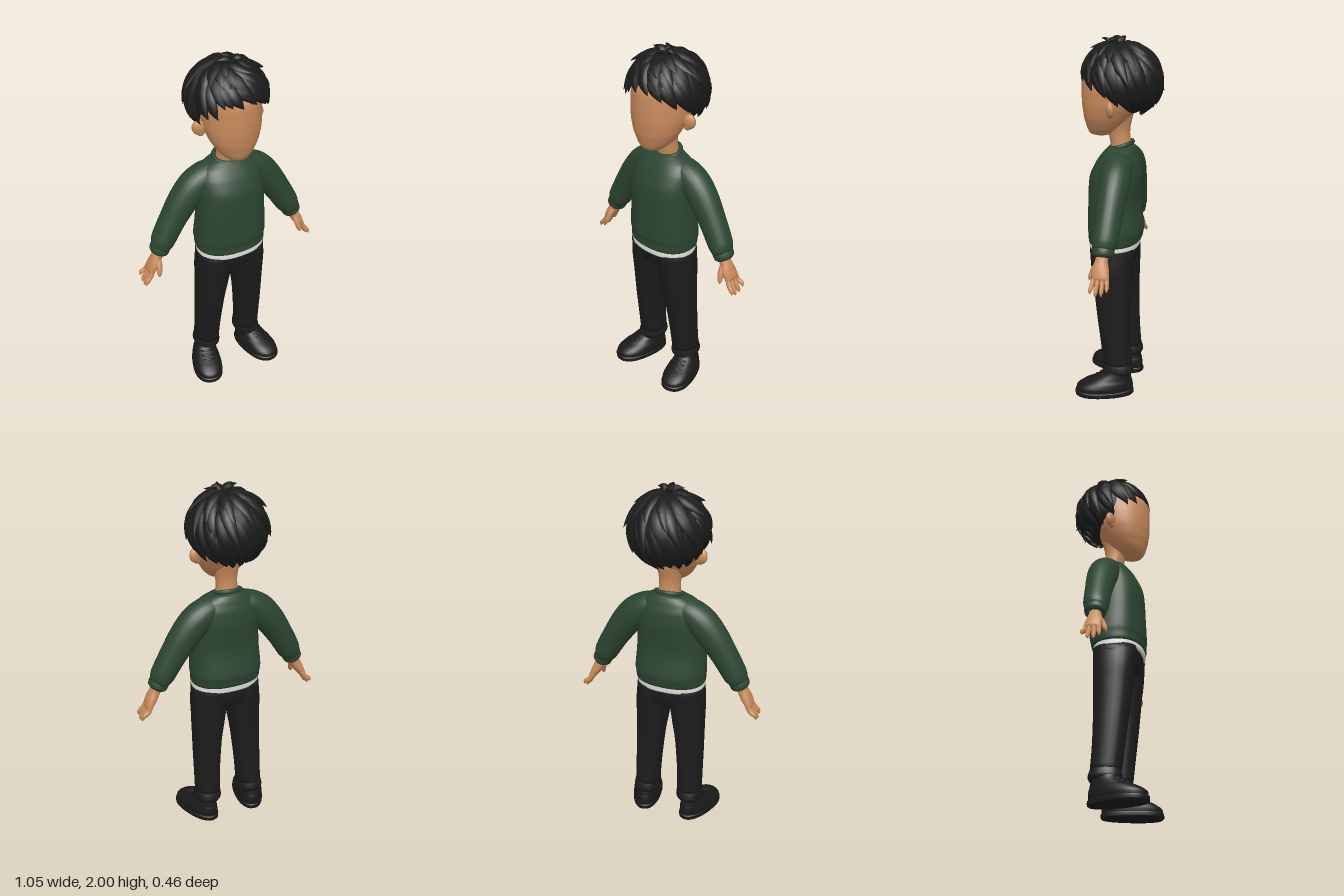
import * as THREE from 'three';

const V = (x, y, z) => new THREE.Vector3(x, y, z);
const paint = (name, color) => {
  const m = new THREE.MeshStandardMaterial({ color });
  m.name = name;
  return m;
};

// Skin closed surface over rings {c, u, v}: centre and two half-axis vectors
function loftRings(rings, n = 24, e = 1) {
  const pos = [], idx = [];
  const pw = (t) => Math.sign(t) * Math.pow(Math.abs(t), e);
  for (const { c, u, v } of rings) {
    for (let j = 0; j < n; j++) {
      const a = (j / n) * Math.PI * 2;
      const p = c.clone().addScaledVector(u, pw(Math.cos(a))).addScaledVector(v, pw(Math.sin(a)));
      pos.push(p.x, p.y, p.z);
    }
  }
  const last = rings.length - 1;
  const c0 = rings[0].c, c1 = rings[last].c;
  pos.push(c0.x, c0.y, c0.z, c1.x, c1.y, c1.z);
  const k = rings.length * n;
  for (let j = 0; j < n; j++) {
    const q = (j + 1) % n;
    for (let i = 0; i < last; i++) {
      const a = i * n + j, b = i * n + q, c = a + n, d = b + n;
      idx.push(a, c, b, b, c, d);
    }
    idx.push(k, j, q, k + 1, last * n + q, last * n + j);
  }
  const g = new THREE.BufferGeometry();
  g.setAttribute('position', new THREE.Float32BufferAttribute(pos, 3));
  g.setIndex(idx);
  g.computeVertexNormals();
  return g;
}

// Smooth loft through rows [x, y, z, half width, half depth]; level keeps the rings horizontal
function loft(rows, { level = true, sub = 4, n = 24, e = 1 } = {}) {
  const path = new THREE.CatmullRomCurve3(rows.map((r) => V(r[0], r[1], r[2])), false, 'centripetal');
  const size = new THREE.CatmullRomCurve3(rows.map((r) => V(r[3], r[4], 0)), false, 'catmullrom', 0.4);
  const steps = (rows.length - 1) * sub, rings = [];
  const up = Math.sign(rows[rows.length - 1][1] - rows[0][1]);
  for (let i = 0; i <= steps; i++) {
    const t = i / steps, s = size.getPoint(t), d = path.getTangent(t);
    const u = level ? V(up, 0, 0) : V(d.y, -d.x, 0).normalize();
    rings.push({ c: path.getPoint(t), u: u.multiplyScalar(s.x), v: V(0, 0, s.y) });
  }
  return loftRings(rings, n, e);
}

function mirrored(geo) {
  const g = geo.clone().scale(-1, 1, 1), ix = g.index;
  for (let i = 0; i < ix.count; i += 3) {
    const t = ix.getX(i);
    ix.setX(i, ix.getX(i + 1));
    ix.setX(i + 1, t);
  }
  return g;
}

// Leaf-shaped lock of hair swept over the head from polar angle p0 to p1
const HAIR = V(0, 1.77, -0.003), HAIR_R = V(0.192, 0.186, 0.198);
function lock(az, p0, p1, width, lift, twist) {
  const at = (s) => {
    const p = p0 + (p1 - p0) * s, a = az + twist * (s - 1);
    const n = V(Math.sin(p) * Math.sin(a), Math.cos(p), Math.sin(p) * Math.cos(a));
    const c = n.clone().multiply(HAIR_R).multiplyScalar(0.99 + 0.06 * s + lift * s * s * s).add(HAIR);
    return { n, c };
  };
  const rings = [];
  for (let i = 0; i <= 9; i++) {
    const s = i / 9, { n, c } = at(s);
    const t = at(s + 0.01).c.sub(at(s - 0.01).c).normalize();
    const side = t.clone().cross(n).normalize();
    const f = Math.pow(Math.max(0.0005, Math.sin(Math.PI * (0.2 + 0.8 * s))), 0.9);
    rings.push({ c, u: side.multiplyScalar(width * f), v: n.multiplyScalar(0.023 * f) });
  }
  return loftRings(rings, 8);
}

export function createModel() {
  const skin = paint('skin', 0xc88a5b);
  const hair = paint('hair', 0x1b1b1c);
  const green = paint('sweater green', 0x2c4531);
  const white = paint('shirt white', 0xdcdcd6);
  const trousers = paint('trousers black', 0x1c1c1c);
  const shoeBlack = paint('shoe black', 0x1a1a1b);
  hair.side = THREE.DoubleSide;

  const model = new THREE.Group();
  model.name = 'boy';
  const add = (name, geo, mat, parent = model) => {
    const m = new THREE.Mesh(geo, mat);
    m.name = name;
    parent.add(m);
  };
  const both = (name, geo, mat) => {
    add('left' + name, geo, mat);
    add('right' + name, mirrored(geo), mat);
  };

  // Head, neck and ears
  add('head', loft([
    [0, 1.468, 0.11, 0.02, 0.025], [0, 1.48, 0.107, 0.06, 0.062], [0, 1.52, 0.087, 0.1, 0.1],
    [0, 1.58, 0.07, 0.133, 0.132], [0, 1.65, 0.047, 0.152, 0.163], [0, 1.73, 0.027, 0.156, 0.185],
    [0, 1.82, 0.012, 0.146, 0.192], [0, 1.9, 0, 0.1, 0.115], [0, 1.93, 0, 0.03, 0.03],
  ], { n: 32 }), skin);
  add('neck', loft([[0, 1.36, -0.01, 0.07, 0.06], [0, 1.43, 0, 0.06, 0.056],
    [0, 1.5, 0.01, 0.06, 0.06], [0, 1.6, 0.01, 0.08, 0.08]]), skin);
  both('Ear', new THREE.SphereGeometry(1, 16, 12).scale(0.036, 0.042, 0.022)
    .rotateY(0.35).rotateZ(-0.2).translate(0.17, 1.638, 0.02), skin);
  both('EarLobe', new THREE.SphereGeometry(1, 12, 10).scale(0.022, 0.022, 0.018)
    .translate(0.16, 1.612, 0.022), skin);

  // Hair: scalp, back of the head, then layered locks swirling out from the crown
  const hairGroup = new THREE.Group();
  hairGroup.name = 'hair';
  model.add(hairGroup);
  add('scalp', new THREE.SphereGeometry(1, 32, 14, 0, Math.PI * 2, 0, 1.08)
    .scale(HAIR_R.x, HAIR_R.y, HAIR_R.z).translate(HAIR.x, HAIR.y, HAIR.z), hair, hairGroup);
  add('backHair', new THREE.SphereGeometry(1, 28, 20).scale(0.178, 0.185, 0.165)
    .translate(0, 1.775, -0.035), hair, hairGroup);
  let seed = 7;
  const rnd = () => (seed = (seed * 16807) % 2147483647) / 2147483647;
  const layers = [[0.5, 1, 19, 0.04, 0.07], [0.33, 0.88, 16, 0.039, 0.14],
    [0.17, 0.7, 13, 0.039, 0.17], [0.02, 0.5, 10, 0.037, 0.17]];
  layers.forEach(([f0, f1, count, width, lift], k) => {
    for (let i = 0; i < count; i++) {
      const az = ((i + 0.5 * (k % 2) + 0.4 * (rnd() - 0.5)) / count) * Math.PI * 2;
      const end = 79 + 35 * (1 - Math.cos(az)) + 13 * Math.sin(az) ** 2 - 6 * Math.sin(az) + 10 * (rnd() - 0.5);
      const p = (end * Math.PI) / 180;
      add('hairLock', lock(az, p * f0, p * f1, width, lift * (0.15 + rnd()), 0.5), hair, hairGroup);
    }
  });
  // Tuft on the crown
  for (const [x, y, z, w] of [[-0.07, 1.985, 0.03, 0.026], [0.08, 1.978, 0.04, 0.024],
    [0.01, 1.985, 0.1, 0.024], [-0.03, 1.995, -0.02, 0.024]]) {
    add('crownTuft', loft([[0.02, 1.935, 0.02, w, w], [0.01 + x * 0.4, 1.978, (0.02 + z) / 2, w * 0.8, w],
      [x, y, z, 0.001, 0.001]], { level: false, n: 8 }), hair, hairGroup);
  }

  // Sweater
  add('sweaterBody', loft([
    [0, 0.875, 0.033, 0.182, 0.125], [0, 0.89, 0.03, 0.198, 0.143], [0, 0.925, 0.026, 0.2, 0.147],
    [0, 0.96, 0.026, 0.203, 0.152], [0, 1.1, 0.035, 0.195, 0.138], [0, 1.25, 0.025, 0.187, 0.14],
    [0, 1.33, 0.012, 0.18, 0.118], [0, 1.38, 0.003, 0.152, 0.092], [0, 1.412, -0.006, 0.098, 0.068],
    [0, 1.422, -0.008, 0.06, 0.05],
  ], { n: 36, e: 0.87 }), green);
  add('collar', new THREE.TorusGeometry(0.073, 0.012, 10, 32).scale(1, 0.88, 1)
    .rotateX(Math.PI / 2 + 0.3).translate(0, 1.42, -0.003), green);
  both('Sleeve', loft([
    [0.05, 1.368, -0.008, 0.045, 0.06], [0.13, 1.33, -0.01, 0.072, 0.08], [0.19, 1.281, -0.012, 0.086, 0.084],
    [0.25, 1.212, -0.012, 0.084, 0.08], [0.325, 1.1, -0.008, 0.074, 0.072], [0.385, 0.995, -0.003, 0.067, 0.068],
    [0.405, 0.957, 0, 0.054, 0.058],
  ], { level: false }), green);
  both('Cuff', loft([[0.397, 0.972, 0, 0.048, 0.05], [0.405, 0.957, 0, 0.055, 0.058],
    [0.417, 0.932, 0, 0.053, 0.056], [0.423, 0.92, 0, 0.04, 0.043]], { level: false }), green);
  add('shirtHem', loft([[0, 0.85, 0.032, 0.188, 0.132], [0, 0.858, 0.032, 0.194, 0.137],
    [0, 0.9, 0.03, 0.188, 0.135]], { n: 36, e: 0.87 }), white);

  // Hands
  both('Palm', loft([[0.41, 0.945, 0, 0.03, 0.031], [0.43, 0.905, 0.004, 0.03, 0.034],
    [0.453, 0.862, 0.005, 0.028, 0.046], [0.475, 0.825, 0.001, 0.02, 0.046],
    [0.482, 0.812, 0, 0.008, 0.036]], { level: false, n: 18, e: 0.9 }), skin);
  [[0.032, 0.045, 0.755], [0.011, 0.017, 0.74], [-0.011, -0.013, 0.745], [-0.032, -0.042, 0.768]].forEach(([z, z1, y]) => {
    both('Finger', loft([[0.465, 0.84, z, 0.014, 0.012], [0.488, 0.8, (z + z1) / 2, 0.014, 0.012],
      [0.511, y + 0.018, z1, 0.012, 0.0105], [0.518, y, z1, 0.003, 0.003]], { level: false, n: 10 }), skin);
  });
  both('Thumb', loft([[0.43, 0.895, 0.025, 0.016, 0.016], [0.435, 0.86, 0.045, 0.017, 0.016],
    [0.443, 0.82, 0.06, 0.013, 0.012], [0.446, 0.803, 0.065, 0.003, 0.003]], { level: false, n: 12 }), skin);

  // Trousers
  add('trouserHips', loft([[0, 0.875, 0.03, 0.185, 0.128], [0, 0.82, 0.028, 0.196, 0.124],
    [0, 0.76, 0.025, 0.16, 0.108], [0, 0.72, 0.022, 0.06, 0.06]], { n: 32, e: 0.87 }), trousers);
  both('TrouserLeg', loft([
    [0.1, 0.86, 0.03, 0.092, 0.12], [0.102, 0.75, 0.027, 0.1, 0.115], [0.109, 0.65, 0.022, 0.093, 0.106],
    [0.121, 0.5, 0.015, 0.081, 0.095], [0.13, 0.3, 0, 0.073, 0.084], [0.133, 0.175, -0.012, 0.071, 0.081],
  ], { e: 0.9 }), trousers);
  both('TrouserCuff', loft([[0.133, 0.2, -0.011, 0.066, 0.076], [0.134, 0.17, -0.013, 0.074, 0.085],
    [0.135, 0.145, -0.014, 0.076, 0.089], [0.135, 0.125, -0.014, 0.066, 0.08]], { e: 0.9 }), trousers);

  // Shoes, turned outwards
  const place = (g) => g.rotateY(0.26).translate(0.154, 0, 0);
  const flare = (g) => {
    const p = g.attributes.position;
    for (let i = 0; i < p.count; i++) p.setX(i, p.getX(i) * (1 + 0.8 * p.getZ(i)));
    g.computeVertexNormals();
    return place(g);
  };
  both('Sole', flare(loft([[0, 0, 0.06, 0.076, 0.16], [0, 0.006, 0.06, 0.081, 0.166],
    [0, 0.026, 0.06, 0.081, 0.166], [0, 0.032, 0.06, 0.075, 0.16]], { n: 32, e: 0.87 })), shoeBlack);
  both('Shoe', flare(loft([[0, 0.02, 0.06, 0.077, 0.16], [0, 0.05, 0.058, 0.079, 0.16],
    [0, 0.075, 0.043, 0.074, 0.142], [0, 0.1, 0.018, 0.064, 0.11], [0, 0.13, -0.007, 0.057, 0.078],
    [0, 0.16, -0.014, 0.052, 0.066]], { n: 32, e: 0.9 })), shoeBlack);
  for (let i = 0; i < 3; i++) {
    const y = 0.125 - i * 0.014, z = 0.077 + i * 0.025;
    const curve = new THREE.CatmullRomCurve3([V(-0.045, y - 0.022, z - 0.03), V(-0.022, y, z), V(0.022, y, z), V(0.045, y - 0.022, z - 0.03)]);
    both('Lace', place(new THREE.TubeGeometry(curve, 10, 0.007, 6)), shoeBlack);
  }
  return model;
}
